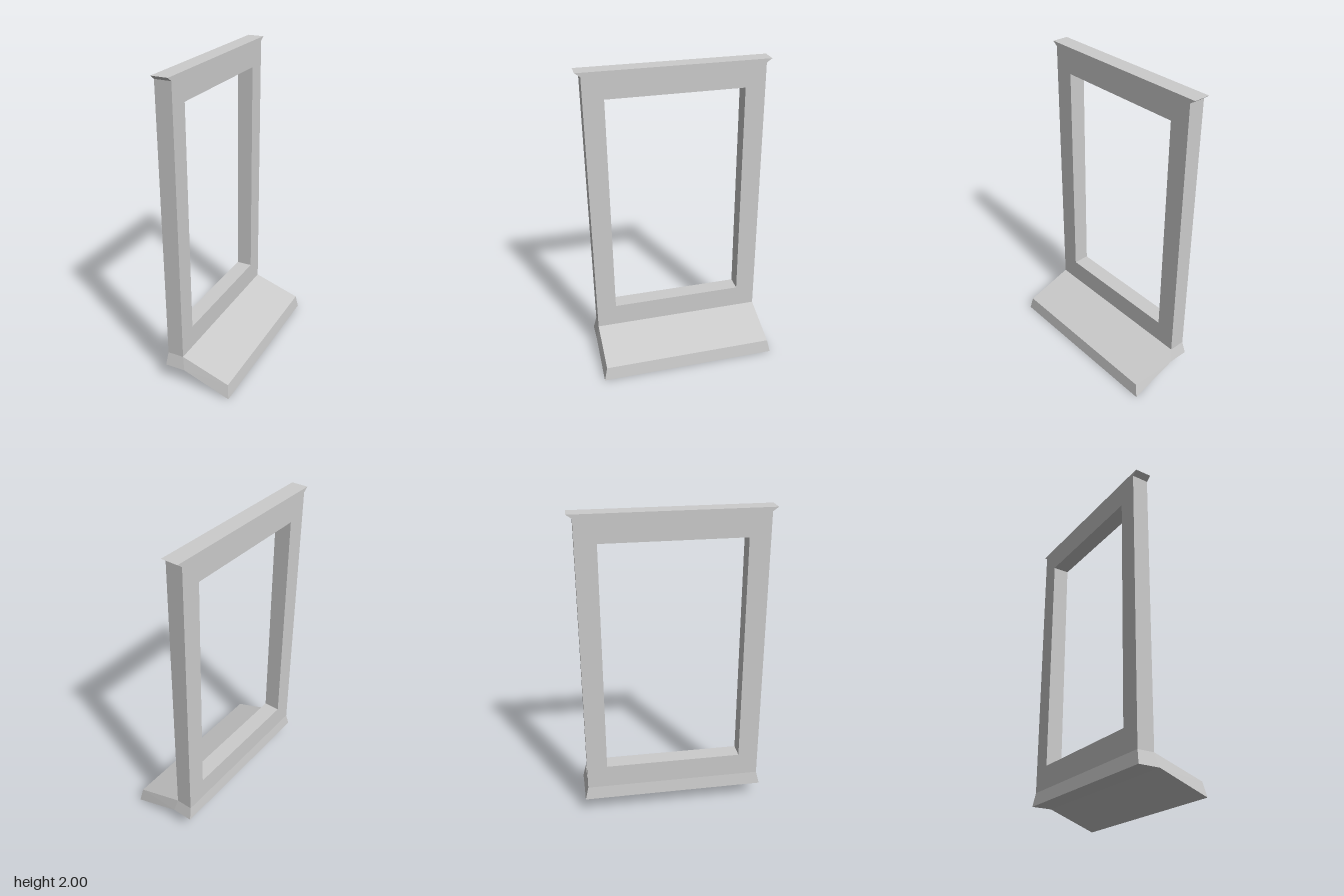
import * as THREE from 'three';

const material = new THREE.MeshStandardMaterial({ color: 0xcccccc, flatShading: true });
const toPoints = (list) => list.map(([a, b]) => new THREE.Vector2(a, b));

// Upright frame: outline in the z-y plane with a flared lip at the top
function makeFrame() {
  const back = -0.215, front = -0.108, half = 0.566;
  const shape = new THREE.Shape(toPoints([
    [-half, 0.2], [half, 0.2], [half, 1.975], [0.6, 2], [-0.6, 2], [-half, 1.975],
  ]));
  shape.holes.push(new THREE.Path(toPoints([
    [-0.437, 0.35], [-0.437, 1.83], [0.437, 1.83], [0.437, 0.35],
  ])));
  const geometry = new THREE.ExtrudeGeometry(shape, { depth: front - back, bevelEnabled: false });
  geometry.rotateY(Math.PI / 2).translate(back, 0, 0);
  const mesh = new THREE.Mesh(geometry, material);
  mesh.name = 'windowFrame';
  return mesh;
}

// Sloping sill: x-y profile whose ends widen from the top surface to the underside
function makeSill() {
  const shape = new THREE.Shape(toPoints([
    [-0.225, 0.115], [-0.09, 0.115], [0.223, 0], [0.21, 0.09], [-0.108, 0.2], [-0.215, 0.2],
  ]));
  const geometry = new THREE.ExtrudeGeometry(shape, { depth: 1, bevelEnabled: false });
  const p = geometry.attributes.position;
  for (let i = 0; i < p.count; i++) {
    const middle = 0.16 - 0.35 * Math.max(0, p.getX(i) + 0.1);
    const half = p.getY(i) > middle ? 0.566 : 0.587;
    p.setZ(i, p.getZ(i) > 0.5 ? half : -half);
  }
  geometry.computeVertexNormals();
  const mesh = new THREE.Mesh(geometry, material);
  mesh.name = 'windowSill';
  return mesh;
}

export function createModel() {
  const group = new THREE.Group();
  group.name = 'window';
  group.add(makeFrame(), makeSill());
  return group;
}
